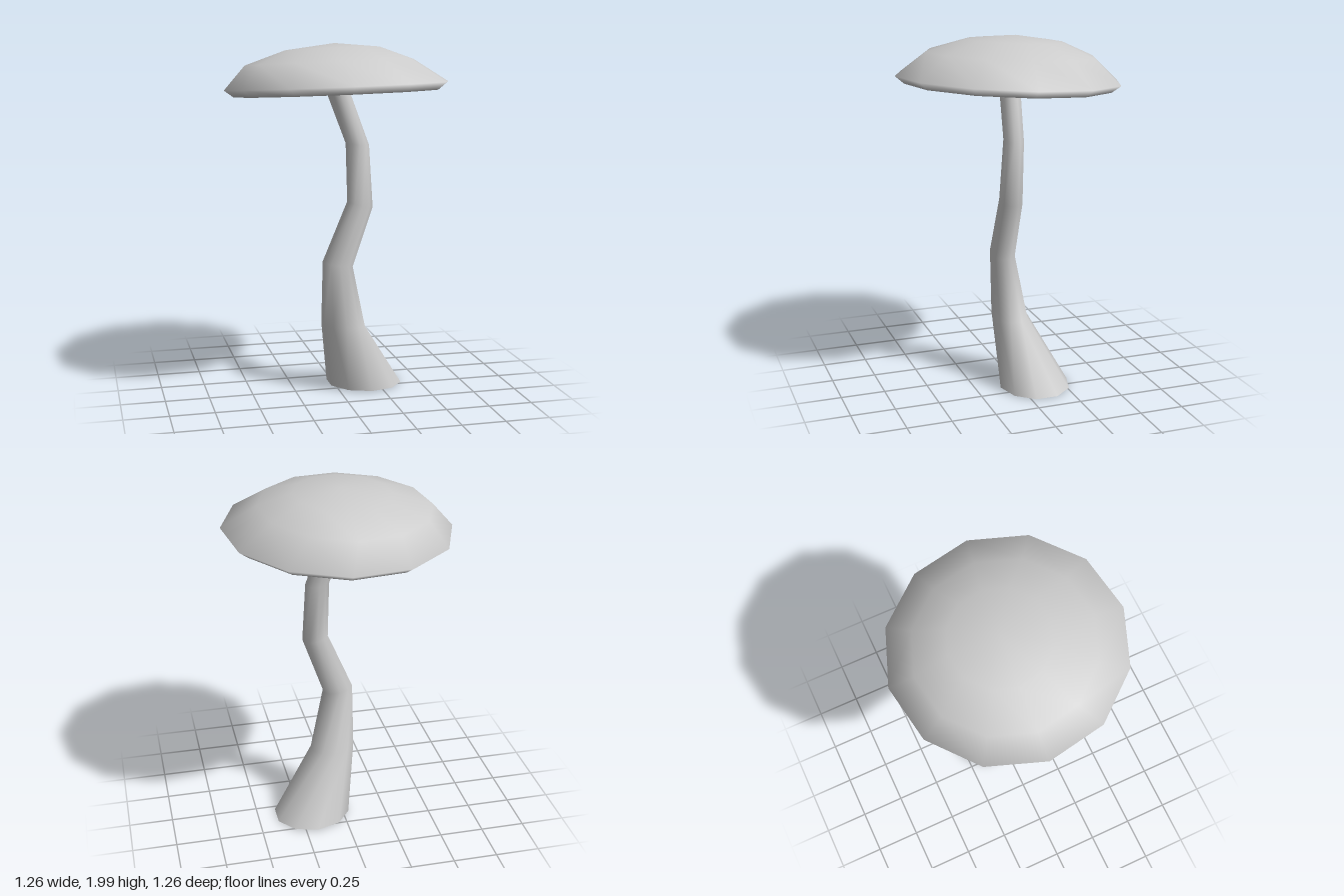
import * as THREE from 'three';
import { mergeVertices } from 'three/addons/utils/BufferGeometryUtils.js';

const CAP_SIDES = 12;
const STEM_SIDES = 10;

// Stem cross-sections, top to bottom: centre x, y, z, radius x, radius z, slope of the ring along x
const STEM_RINGS = [
  [-0.002, 1.745, -0.005, 0.067, 0.06, 0],
  [0.112, 1.435, 0.01, 0.067, 0.057, -0.08],
  [0.123, 1.095, 0.03, 0.073, 0.066, -0.22],
  [-0.008, 0.755, 0.035, 0.087, 0.071, -0.18],
  [0.031, 0.39, 0.006, 0.128, 0.104, -0.08],
  [0.18, 0.009, -0.092, 0.222, 0.204, -0.02],
];

// Cap cross-sections, underside to apex: radius, height, centre x, centre z
const CAP_RINGS = [
  [0, -0.04, 0, 0],
  [0.58, -0.04, 0, 0],
  [0.632, 0, 0, 0],
  [0.475, 0.132, -0.033, -0.02],
  [0.268, 0.207, -0.01, -0.035],
  [0, 0.237, 0, -0.03],
];

// Weld the seam and poles so the shading runs smoothly over the whole surface
function smooth(geometry) {
  geometry.deleteAttribute('uv');
  geometry.deleteAttribute('normal');
  const welded = mergeVertices(geometry);
  welded.computeVertexNormals();
  return welded;
}

// Bent, flared tube, open at the foot
function createStem(material) {
  const geometry = new THREE.CylinderGeometry(1, 1, 1, STEM_SIDES, STEM_RINGS.length - 1, true);
  const pos = geometry.attributes.position;
  for (let i = 0; i < pos.count; i++) {
    const [cx, cy, cz, rx, rz, slope] = STEM_RINGS[Math.floor(i / (STEM_SIDES + 1))];
    const dx = pos.getX(i) * rx;
    pos.setXYZ(i, cx + dx, cy + dx * slope, cz + pos.getZ(i) * rz);
  }
  const stem = new THREE.Mesh(smooth(geometry), material);
  stem.name = 'stem';
  return stem;
}

// Tilted, slightly lopsided dome with a bevelled rim and flat underside
function createCap(material) {
  const profile = CAP_RINGS.map(([r, y]) => new THREE.Vector2(r, y));
  const geometry = new THREE.LatheGeometry(profile, CAP_SIDES, -0.1);
  const pos = geometry.attributes.position;
  for (let i = 0; i < pos.count; i++) {
    const [, , cx, cz] = CAP_RINGS[i % CAP_RINGS.length];
    pos.setX(i, pos.getX(i) + cx);
    pos.setZ(i, pos.getZ(i) + cz);
  }
  const cap = new THREE.Mesh(smooth(geometry), material);
  cap.name = 'cap';
  cap.position.set(-0.001, 1.763, 0);
  cap.rotation.set(-0.055, 0, 0.028);
  return cap;
}

export function createModel() {
  const material = new THREE.MeshStandardMaterial({ color: 0xcccccc, side: THREE.DoubleSide });
  const mushroom = new THREE.Group();
  mushroom.name = 'mushroom';
  mushroom.add(createStem(material), createCap(material));
  return mushroom;
}
